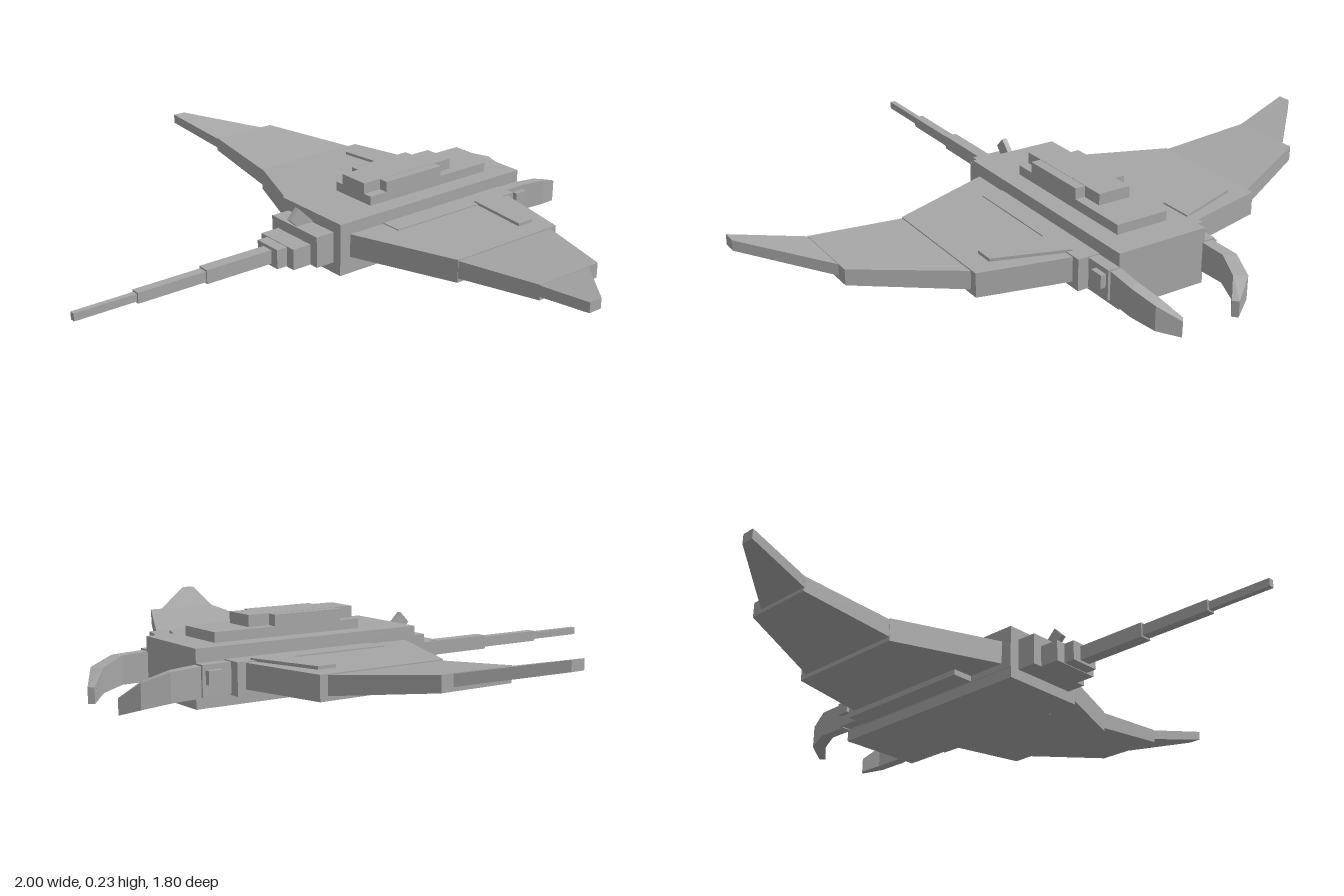
import * as THREE from 'three';
import { ConvexGeometry } from 'three/addons/geometries/ConvexGeometry.js';

export function createModel() {
  const group = new THREE.Group();
  group.name = 'mantaRay';
  const hullGray = new THREE.MeshStandardMaterial({ color: 0xa6a6a6 });
  hullGray.name = 'hullGray';

  const add = (name, geometry) => {
    const mesh = new THREE.Mesh(geometry, hullGray);
    mesh.name = name;
    group.add(mesh);
    return mesh;
  };
  // Box from its limits on each axis
  const box = (name, x0, x1, y0, y1, z0, z1) => {
    const mesh = add(name, new THREE.BoxGeometry(x1 - x0, y1 - y0, z1 - z0));
    mesh.position.set((x0 + x1) / 2, (y0 + y1) / 2, (z0 + z1) / 2);
    return mesh;
  };
  const centred = (name, w, y0, y1, z0, z1) => box(name, -w, w, y0, y1, z0, z1);
  // Faceted solid from corner points, mirrored by side
  const solid = (name, side, points) =>
    add(name, new ConvexGeometry(points.map(([x, y, z]) => new THREE.Vector3(x * side, y, z))));
  // Slab between two ribs: [x, bottom, top, leading z, trailing z]
  const rib = ([x, y0, y1, z0, z1]) => [[x, y0, z0], [x, y1, z0], [x, y0, z1], [x, y1, z1]];

  // Stepped body
  centred('belly', 0.145, 0, 0.04, -0.69, 0.07);
  centred('body', 0.147, 0.035, 0.17, -0.69, 0.07);
  centred('shoulders', 0.217, 0.037, 0.133, -0.6, -0.1);
  centred('backPlate', 0.085, 0.17, 0.2, -0.595, -0.1);
  centred('humpLong', 0.053, 0.2, 0.235, -0.465, -0.1);
  centred('humpWide', 0.085, 0.2, 0.234, -0.395, -0.165);

  // Tail steps: half width, bottom, top, start, end
  [
    [0.113, 0.035, 0.135, 0.06, 0.135],
    [0.082, 0.035, 0.102, 0.13, 0.2],
    [0.05, 0.037, 0.1, 0.19, 0.237],
    [0.02, 0.045, 0.09, 0.22, 0.47],
    [0.015, 0.05, 0.084, 0.46, 0.7],
    [0.009, 0.055, 0.079, 0.69, 0.9],
  ].forEach((t, i) => centred('tail' + (i + 1), ...t));

  // Leaning fin at the tail root
  const fin = centred('dorsalFin', 0.008, 0.1, 0.19, 0.085, 0.13);
  fin.position.set(0, 0.145, 0.107);
  fin.rotation.x = 0.8;

  for (const side of [1, -1]) {
    const label = side > 0 ? 'left' : 'right';

    // Wing in three panels, rising towards the tip
    [
      [[0.14, 0.055, 0.13, -0.592, 0.035], [0.485, 0.055, 0.128, -0.51, -0.095]],
      [[0.48, 0.068, 0.124, -0.487, -0.096], [0.787, 0.108, 0.155, -0.35, -0.114]],
      [[0.78, 0.118, 0.152, -0.318, -0.114], [1, 0.167, 0.198, -0.112, -0.068]],
    ].forEach(([a, b], i) => solid(label + 'Wing' + (i + 1), side, [...rib(a), ...rib(b)]));

    // Raised plate on the inner wing
    solid(label + 'WingPlate', side, [
      ...rib([0.2, 0.12, 0.138, -0.548, -0.44]), ...rib([0.42, 0.12, 0.138, -0.473, -0.414])]);

    // Cheek and eye
    const cheek = box(label + 'Cheek', 0.11, 0.183, 0.04, 0.13, -0.69, -0.59);
    cheek.position.x *= side;
    const eye = box(label + 'Eye', 0.17, 0.2, 0.075, 0.115, -0.68, -0.635);
    eye.position.x *= side;

    // Curved head horn; each section: inner x, inner z, outer x, outer z, bottom, top
    const horn = [
      [0.14, -0.68, 0.175, -0.68, 0.037, 0.126],
      [0.145, -0.77, 0.181, -0.785, 0.035, 0.12],
      [0.122, -0.84, 0.157, -0.862, 0.022, 0.095],
      [0.083, -0.885, 0.097, -0.9, 0.002, 0.05],
    ];
    const corners = ([xi, zi, xo, zo, y0, y1]) =>
      [[xi, y0, zi], [xi, y1, zi], [xo, y0, zo], [xo, y1, zo]];
    for (let i = 0; i < 3; i++) {
      solid(label + 'Horn' + (i + 1), side, [...corners(horn[i]), ...corners(horn[i + 1])]);
    }
  }
  return group;
}
